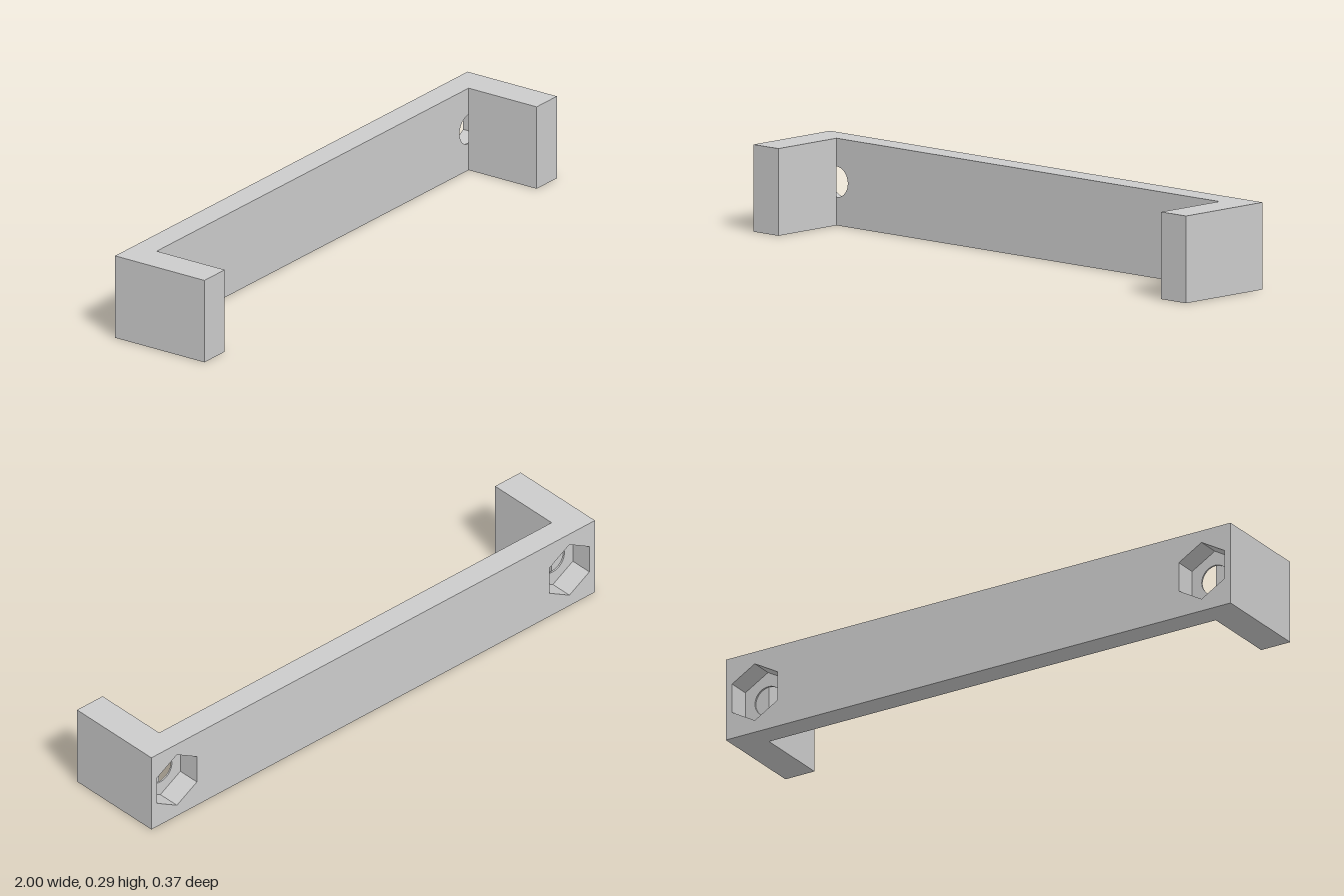
import * as THREE from 'three';

const HEIGHT = 0.295, BACK = -0.184, FRONT = 0.184;
const PLATE_FRONT = -0.096;          // inner face of the long plate
const ARM_INNER = 0.885;             // inner face of the arms, also the bolt axis
const SKIN = 0.006;                  // thin web left in front of the nut pockets
const NUT_RADIUS = 0.104, BOLT_RADIUS = 0.052;

const material = new THREE.MeshStandardMaterial({ color: 0xcccccc, flatShading: true });

function addMesh(group, name, geometry) {
  const mesh = new THREE.Mesh(geometry, material);
  mesh.name = name;
  group.add(mesh);
  return mesh;
}

// Regular polygon opening with one corner pointing up
function polygonHole(x, y, radius, sides) {
  const points = [];
  for (let i = 0; i < sides; i++) {
    const a = Math.PI / 2 - (i / sides) * Math.PI * 2;
    points.push(new THREE.Vector2(x + radius * Math.cos(a), y + radius * Math.sin(a)));
  }
  return new THREE.Path(points);
}

// Full-width slab from z0 to z1 with one opening near each end
function slab(z0, z1, radius, sides) {
  const shape = new THREE.Shape([
    new THREE.Vector2(-1, 0), new THREE.Vector2(1, 0),
    new THREE.Vector2(1, HEIGHT), new THREE.Vector2(-1, HEIGHT),
  ]);
  for (const s of [-1, 1]) shape.holes.push(polygonHole(s * ARM_INNER, HEIGHT / 2, radius, sides));
  return new THREE.ExtrudeGeometry(shape, { depth: z1 - z0, bevelEnabled: false }).translate(0, 0, z0);
}

export function createModel() {
  const group = new THREE.Group();
  group.name = 'bracket';

  // Long plate: hexagonal nut pockets behind, round bolt holes in the front web
  addMesh(group, 'backPlate', slab(BACK, PLATE_FRONT - SKIN, NUT_RADIUS, 6));
  addMesh(group, 'boltHoleWeb', slab(PLATE_FRONT - SKIN, PLATE_FRONT, BOLT_RADIUS, 48));

  // Arms reaching forward, each covering half of a bolt hole
  for (const [s, name] of [[1, 'leftArm'], [-1, 'rightArm']]) {
    const arm = addMesh(group, name, new THREE.BoxGeometry(1 - ARM_INNER, HEIGHT, FRONT - PLATE_FRONT));
    arm.position.set(s * (1 + ARM_INNER) / 2, HEIGHT / 2, (FRONT + PLATE_FRONT) / 2);
  }
  return group;
}
